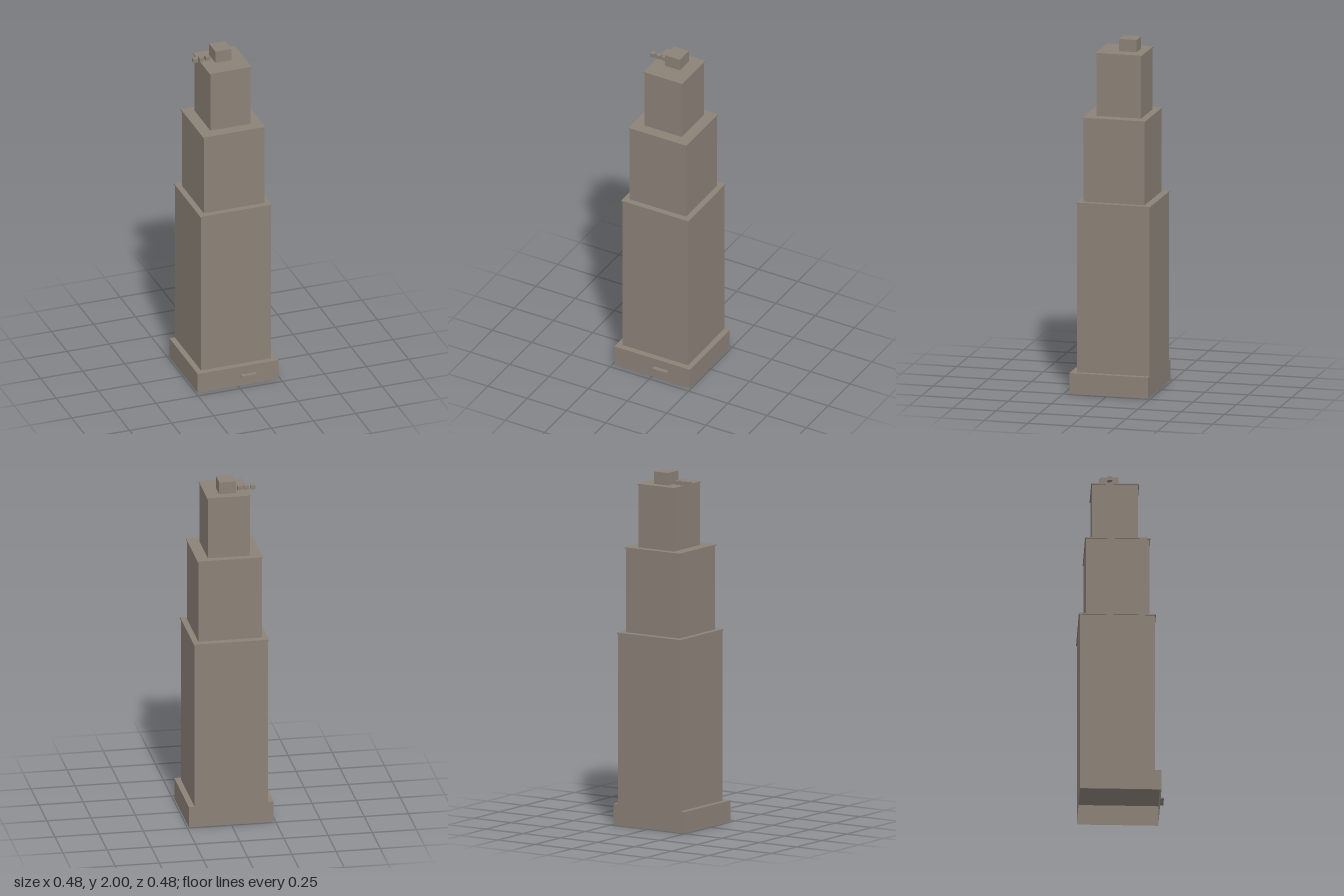
import * as THREE from 'three';

const stone = new THREE.MeshStandardMaterial({ color: 0x8b8177, side: THREE.DoubleSide });
stone.name = 'warm grey stone';

// Box given by its extents; openBottom leaves out the underside
function block(name, [x0, x1], [y0, y1], [z0, z1], openBottom = false) {
  const geometry = new THREE.BoxGeometry(x1 - x0, y1 - y0, z1 - z0);
  if (openBottom) {
    const index = Array.from(geometry.index.array);
    index.splice(18, 6);
    geometry.setIndex(index);
    geometry.clearGroups();
  }
  geometry.translate((x0 + x1) / 2, (y0 + y1) / 2, (z0 + z1) / 2);
  const mesh = new THREE.Mesh(geometry, stone);
  mesh.name = name;
  return mesh;
}

export function createModel() {
  const tower = new THREE.Group();
  tower.name = 'steppedTower';

  // Hollow podium with a thin canopy over the entrance
  tower.add(block('podium', [-0.24, 0.24], [0, 0.12], [-0.237, 0.217], true));
  tower.add(block('entranceCanopy', [0.014, 0.104], [0.062, 0.069], [0.217, 0.24]));

  // Setback tiers, each finished with a slightly overhanging roof slab
  const overhang = 0.005, slab = 0.007;
  const tiers = [
    { name: 'lower', half: 0.208, y: [0.12, 1.09], z: [-0.237, 0.182] },
    { name: 'middle', half: 0.18, y: [1.09, 1.57], z: [-0.201, 0.152] },
    { name: 'upper', half: 0.119, y: [1.57, 1.93], z: [-0.165, 0.092] },
  ];
  for (const { name, half, y: [y0, y1], z: [z0, z1] } of tiers) {
    const w = half + overhang;
    tower.add(block(name + 'Tier', [-half, half], [y0, y1 - slab], [z0, z1], true));
    tower.add(block(name + 'Cornice', [-w, w], [y1 - slab, y1], [z0 - overhang, z1 + overhang]));
  }

  // Rooftop plant room and a row of small service units
  tower.add(block('plantRoom', [-0.048, 0.047], [1.93, 2], [-0.119, -0.016]));
  for (let i = 0; i < 3; i++) {
    const x = -0.151 + i * 0.0365;
    tower.add(block('roofUnit', [x - 0.013, x + 0.013], [1.931, 1.954], [-0.081, -0.054]));
  }
  return tower;
}
